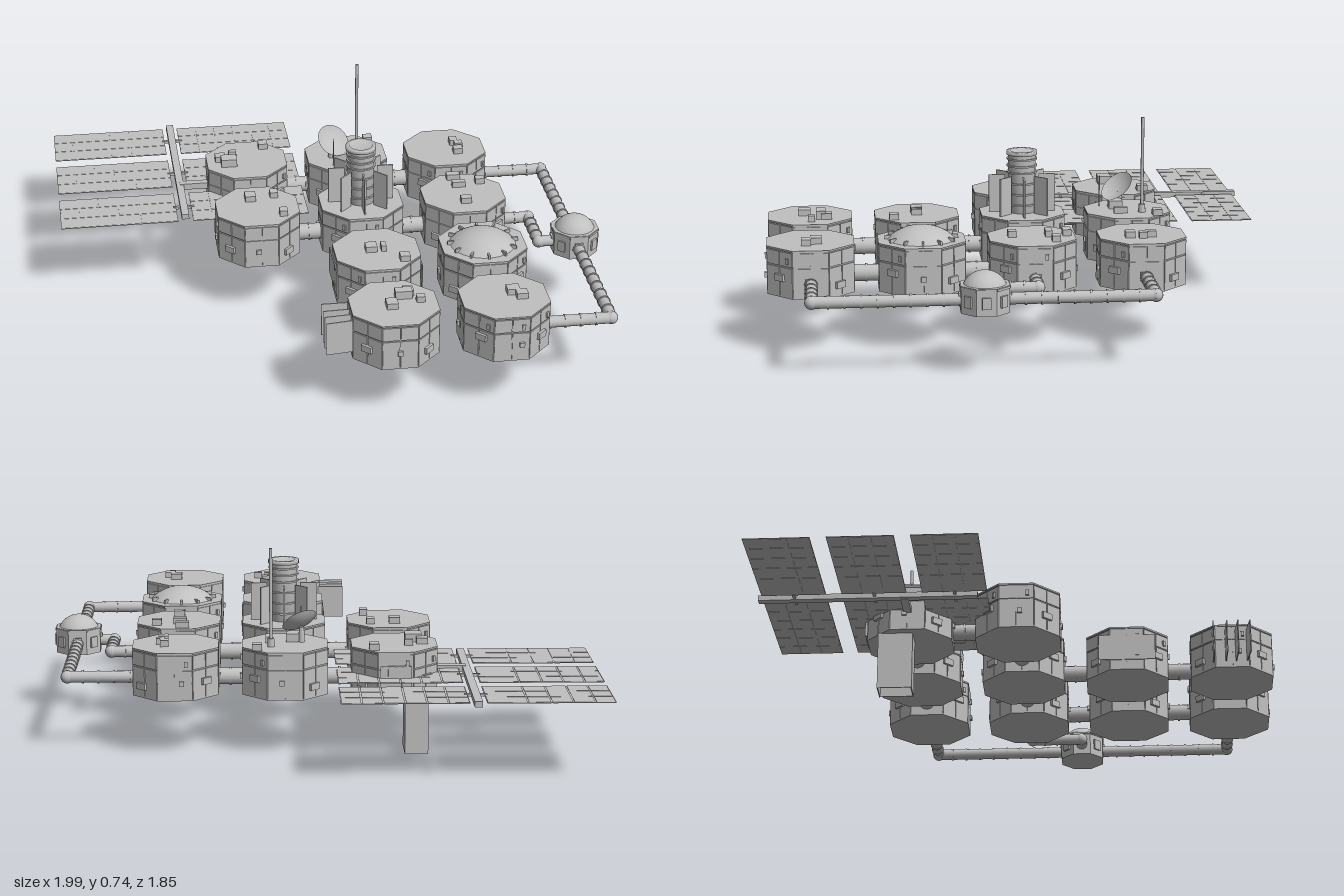
import * as THREE from 'three';

const hull = new THREE.MeshStandardMaterial({ color: 0xc0c0c0, side: THREE.DoubleSide });
hull.name = 'hull grey';

function add(parent, name, geometry, x = 0, y = 0, z = 0) {
  const m = new THREE.Mesh(geometry, hull);
  m.name = name;
  m.position.set(x, y, z);
  parent.add(m);
  return m;
}
const box = (parent, name, w, h, d, x, y, z) => add(parent, name, new THREE.BoxGeometry(w, h, d), x, y, z);

function group(parent, name, x = 0, y = 0, z = 0, turn = 0) {
  const g = new THREE.Group();
  g.name = name;
  g.position.set(x, y, z);
  g.rotation.y = turn;
  parent.add(g);
  return g;
}

// Octagonal prism with crisp sides, flats facing the axes
function octagon(apothem, height) {
  const r = apothem / Math.cos(Math.PI / 8);
  const g = new THREE.CylinderGeometry(r, r, height, 8).rotateY(Math.PI / 8).toNonIndexed();
  g.computeVertexNormals();
  return g;
}

// Spherical cap from its base radius and height
function cap(radius, height) {
  const R = (radius * radius + height * height) / (2 * height);
  const g = new THREE.SphereGeometry(R, 32, 12, 0, Math.PI * 2, 0, Math.acos((R - height) / R));
  return g.translate(0, height - R, 0);
}

// Habitat: octagonal core clad in seamed wall panels
const BASE = 0.212, TOP = 0.385;
function habitat(parent, x, z, roofBoxes, seed) {
  const g = group(parent, 'habitatModule', x, 0, z);
  add(g, 'core', octagon(0.149, TOP - BASE), 0, (TOP + BASE) / 2, 0);
  add(g, 'roofPlate', octagon(0.153, 0.006), 0, TOP - 0.003, 0);
  add(g, 'floorPlate', octagon(0.153, 0.006), 0, BASE + 0.003, 0);
  for (let i = 0; i < 8; i++) {
    const side = group(g, 'wall', 0, 0, 0, i * Math.PI / 4);
    for (const s of [-1, 1]) {
      box(side, 'lowerPanel', 0.06, 0.102, 0.008, s * 0.0315, 0.269, 0.149);
      box(side, 'upperPanel', 0.06, 0.05, 0.008, s * 0.0315, 0.35, 0.149);
    }
    // Service boxes on the walls, varied from face to face
    const k = (i * 5 + seed * 3) % 7;
    if (i % 2) box(side, 'serviceBox', 0.042, 0.024, 0.012, (k - 3) * 0.004, 0.255 + k * 0.007, 0.157);
    else box(side, 'serviceBox', 0.018, 0.018, 0.01, (k - 3) * 0.012, 0.275, 0.156);
    if (k > 3) box(side, 'vent', 0.012, 0.02, 0.008, 0.04, 0.345, 0.155);
  }
  for (const [bx, bz, w, d, h = 0.022] of roofBoxes)
    box(g, 'roofBox', w, h, d, bx, TOP + h / 2, bz);
  return g;
}

// Tube between two ground points, ringed with collars
function pipe(parent, name, x1, z1, x2, z2, r, spacing = 0.06) {
  const length = Math.hypot(x2 - x1, z2 - z1);
  const g = group(parent, name, x1, 0.265, z1, Math.atan2(x2 - x1, z2 - z1));
  const tube = (n, rad, len, z) => add(g, n, new THREE.CylinderGeometry(rad, rad, len, 16).rotateX(Math.PI / 2), 0, 0, z);
  tube('tube', r, length, length / 2);
  const n = Math.max(1, Math.round(length / spacing));
  for (let i = 0; i <= n; i++) tube('collar', r + 0.003, 0.007, (i / n) * length);
}

export function createModel() {
  const model = new THREE.Group();
  model.name = 'baseStation';
  const X = [-0.27, 0.12, 0.51], Z = [-0.41, -0.02, 0.37, 0.76];

  // Habitat modules: column, row, roof boxes [x, z, width, depth, height]
  const layout = [
    [0, 0, [[-0.07, 0.03, 0.06, 0.05, 0.03], [-0.1, -0.01, 0.04, 0.04], [-0.05, -0.04, 0.03, 0.02], [0.075, -0.1, 0.035, 0.04]]],
    [1, 0, [[0.1, -0.1, 0.035, 0.035], [-0.03, 0.04, 0.05, 0.05, 0.03], [0.06, 0.03, 0.02, 0.05]]],
    [2, 0, [[0.04, -0.03, 0.03, 0.035], [0.055, 0.0, 0.03, 0.03], [0.045, 0.045, 0.035, 0.035]]],
    [0, 1, [[-0.02, -0.06, 0.04, 0.045], [0.07, -0.075, 0.03, 0.035], [0.09, 0.075, 0.03, 0.035]]],
    [1, 1, []],
    [2, 1, [[-0.015, -0.125, 0.05, 0.03], [0.08, -0.08, 0.035, 0.03], [-0.005, -0.06, 0.05, 0.025], [0, 0.07, 0.04, 0.03]]],
    [1, 2, [[-0.02, 0, 0.042, 0.042], [0.025, 0, 0.018, 0.038], [0.09, 0.085, 0.036, 0.035]]],
    [2, 2, []],
    [1, 3, [[0.06, -0.06, 0.035, 0.04], [0.04, -0.04, 0.06, 0.035, 0.03], [-0.01, 0.02, 0.04, 0.045], [0.095, -0.005, 0.03, 0.025]]],
    [2, 3, [[0.035, -0.02, 0.045, 0.04], [0.06, 0.015, 0.04, 0.035]]],
  ];
  layout.forEach(([c, r, boxes], i) => habitat(model, X[c], Z[r], boxes, i));

  // Short corridors between neighbouring modules
  for (const [c1, r1, c2, r2] of [[0, 0, 1, 0], [1, 0, 2, 0], [0, 1, 1, 1], [1, 1, 2, 1], [0, 0, 0, 1], [1, 1, 1, 2], [1, 2, 1, 3], [2, 1, 2, 2], [2, 2, 2, 3]])
    pipe(model, 'corridor', X[c1], Z[r1], X[c2], Z[r2], 0.03, 0.065);

  // Long outer walkway, with round elbows
  const walkway = [[0.51, -0.41], [0.9, -0.41], [0.9, 0.76], [0.51, 0.76]];
  const link = [[0.51, -0.02], [0.765, -0.02], [0.765, 0.175], [0.9, 0.175]];
  for (const path of [walkway, link])
    for (let i = 0; i < 3; i++) {
      pipe(model, 'walkway', ...path[i], ...path[i + 1], 0.021, 0.055);
      if (i) add(model, 'elbow', new THREE.SphereGeometry(0.024, 16, 10), path[i][0], 0.265, path[i][1]);
    }

  // Small domed junction on the walkway
  const junction = group(model, 'domedJunction', 0.9, 0, 0.175);
  add(junction, 'body', octagon(0.083, 0.095), 0, 0.272, 0);
  add(junction, 'dome', cap(0.073, 0.045), 0, 0.32, 0);
  for (let i = 0; i < 8; i++) {
    const side = group(junction, 'wall', 0, 0, 0, i * Math.PI / 4);
    box(side, 'hatch', 0.03, 0.04, 0.012, 0, 0.27, 0.084);
    box(side, 'trim', 0.066, 0.008, 0.006, 0, 0.314, 0.083);
  }

  // Large glasshouse dome with clamps round the rim
  const glasshouse = group(model, 'largeDome', X[2], TOP, Z[2]);
  add(glasshouse, 'dome', cap(0.12, 0.047));
  for (let i = 0; i < 12; i++)
    box(group(glasshouse, 'clampMount', 0, 0, 0, (i * Math.PI) / 6), 'clamp', 0.007, 0.014, 0.024, 0, 0.007, 0.118);

  // Central tower with rings and radial fins
  const tower = group(model, 'tower', X[1], TOP, Z[1]);
  const shaft = [[0, 0], [0.05, 0], [0.05, 0.215], [0.057, 0.215], [0.057, 0.229], [0.042, 0.229], [0.042, 0.222], [0, 0.222]];
  const shaftGeometry = new THREE.LatheGeometry(shaft.map(p => new THREE.Vector2(...p)), 24);
  add(tower, 'shaft', shaftGeometry);
  for (const y of [0.03, 0.07, 0.11, 0.15, 0.175, 0.2])
    add(tower, 'ring', new THREE.CylinderGeometry(0.056, 0.056, 0.006, 24), 0, y, 0);
  for (let i = 0; i < 8; i++)
    box(group(tower, 'finMount', 0, 0, 0, i * Math.PI / 4), 'fin', 0.006, 0.14, 0.06, 0, 0.07, 0.092);

  // Mast and tilted dish
  add(model, 'mast', new THREE.CylinderGeometry(0.006, 0.006, 0.36, 10), 0.17, 0.56, -0.46);
  add(model, 'mastFoot', new THREE.CylinderGeometry(0.012, 0.014, 0.03, 10), 0.17, 0.4, -0.46);
  add(model, 'aerial', new THREE.CylinderGeometry(0.002, 0.002, 0.12, 6), 0.06, 0.44, -0.315);
  add(model, 'dishPost', new THREE.CylinderGeometry(0.009, 0.012, 0.06, 12), 0.06, 0.41, -0.39);
  const bowl = [0, 0.02, 0.04, 0.055, 0.066].map(r => new THREE.Vector2(r, r * r * 4.5));
  const dish = add(model, 'dish', new THREE.LatheGeometry(bowl, 28), 0.06, 0.447, -0.39);
  dish.quaternion.setFromUnitVectors(new THREE.Vector3(0, 1, 0), new THREE.Vector3(0.36, 0.7, 0.56).normalize());

  // Radiator blades on the front corner module
  [0.69, 0.738, 0.777, 0.82].forEach((z, i) => {
    box(model, 'radiator', 0.1, 0.125, 0.004, -0.075, 0.298, z).rotation.y = (1.5 - i) * -0.04 + 0.06;
  });

  // Side shields on the module behind it
  for (const [x, d] of [[-0.036, 0.21], [0.276, 0.16]])
    box(model, 'sideShield', 0.004, 0.1, d, x, 0.3, Z[2]);

  // Solar wings: boom, cross arms and seamed cell panels
  const solar = group(model, 'solarArray', 0, 0.29, 0);
  box(solar, 'boom', 0.028, 0.02, 0.78, -0.53, 0, -0.54);
  box(solar, 'boomLink', 0.14, 0.024, 0.028, -0.46, 0, -0.41);
  const wings = [[-1, -0.93, -0.855, -0.78, -0.7, -0.56], [-0.503, -0.43, -0.357, -0.283, -0.208, -0.135, -0.063]];
  for (const z0 of [-0.915, -0.63, -0.345]) {
    box(solar, 'crossArm', 0.08, 0.01, 0.01, -0.53, 0, z0 + 0.115);
    for (const edges of wings) {
      const a = edges[0], b = edges[edges.length - 1];
      box(solar, 'panelSheet', b - a, 0.0015, 0.23, (a + b) / 2, 0, z0 + 0.115);
      for (let i = 0; i + 1 < edges.length; i++)
        for (let r = 0; r < 3; r++)
          box(solar, 'cell', edges[i + 1] - edges[i] - 0.005, 0.004, 0.072, (edges[i] + edges[i + 1]) / 2, 0, z0 + 0.0385 + r * 0.0765);
    }
  }

  // Open shaft below the back corner module
  for (const s of [-1, 1]) {
    box(model, 'shaftSide', 0.004, 0.215, 0.124, -0.348 + s * 0.04, 0.1075, -0.455);
    box(model, 'shaftEnd', 0.084, 0.215, 0.004, -0.348, 0.1075, -0.455 + s * 0.06);
  }

  // Bay door on the back wall
  box(model, 'bayDoor', 0.11, 0.1, 0.006, X[0], 0.285, -0.567);
  for (let i = 0; i < 5; i++) box(model, 'doorRib', 0.008, 0.1, 0.006, X[0] - 0.048 + i * 0.024, 0.285, -0.57);
  return model;
}
